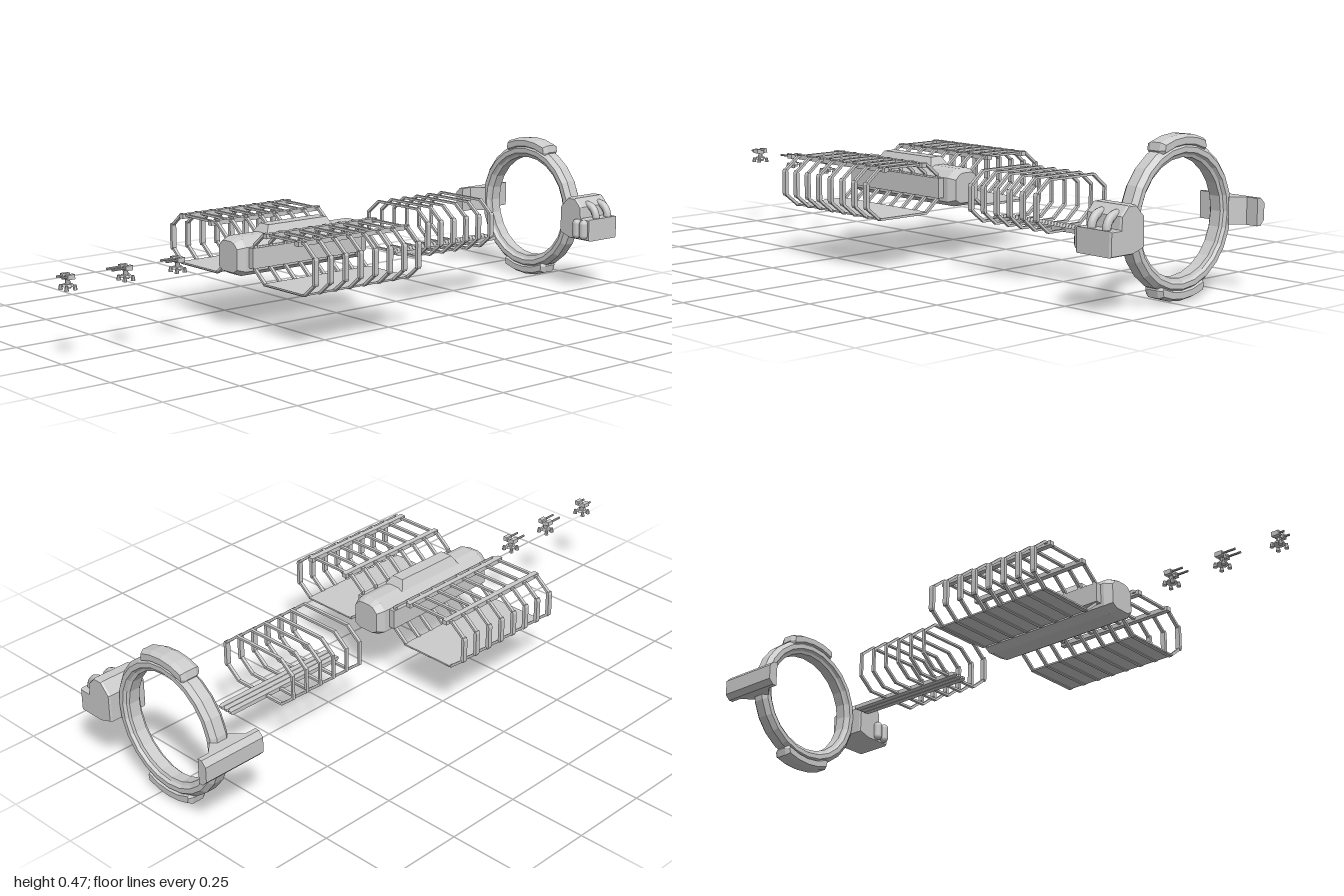
import * as THREE from 'three';

const mat = new THREE.MeshStandardMaterial({ color: 0xcccccc, flatShading: true });
const smooth = new THREE.MeshStandardMaterial({ color: 0xcccccc });

function add(parent, name, geo, x = 0, y = 0, z = 0, m = mat) {
  const mesh = new THREE.Mesh(geo, m);
  mesh.name = name;
  mesh.position.set(x, y, z);
  parent.add(mesh);
  return mesh;
}
const group = (parent, name) => {
  const g = new THREE.Group();
  g.name = name;
  parent.add(g);
  return g;
};
const box = (w, h, d) => new THREE.BoxGeometry(w, h, d);
const poly = (pts) => new THREE.Shape(pts.map(([x, y]) => new THREE.Vector2(x, y)));

// Outline in x,y drawn out between z0 and z1, with an inward bevel at both ends
function prism(shape, z0, z1, bevel = 0, bevelDepth = bevel) {
  const geo = new THREE.ExtrudeGeometry(shape, {
    depth: z1 - z0 - 2 * bevelDepth, bevelEnabled: bevel > 0, bevelSize: bevel,
    bevelOffset: -bevel, bevelThickness: bevelDepth, bevelSegments: 1,
  });
  return geo.translate(0, 0, z0 + bevelDepth);
}

// Box whose top is scaled to sx, sz
function taperBox(w, h, d, sx, sz) {
  const geo = box(w, h, d), p = geo.attributes.position;
  for (let i = 0; i < p.count; i++) {
    if (p.getY(i) > 0) { p.setX(i, p.getX(i) * sx); p.setZ(i, p.getZ(i) * sz); }
  }
  geo.computeVertexNormals();
  return geo;
}

// Closed eight-sided rib with a thick pad on its outer (+x) side
const octagon = (w, h, cx, cy) => [
  [w, -h + cy], [w, h - cy], [w - cx, h], [cx - w, h],
  [-w, h - cy], [-w, cy - h], [cx - w, -h], [w - cx, -h]];
const ribShape = poly(octagon(0.145, 0.08, 0.05, 0.04));
ribShape.holes.push(poly(octagon(0.138, 0.073, 0.047, 0.038)));
const ribGeo = prism(ribShape, -0.005, 0.005);
const padGeo = prism(poly([[0.137, -0.034], [0.14, -0.042], [0.145, -0.042], [0.148, -0.034],
  [0.148, 0.034], [0.145, 0.042], [0.14, 0.042], [0.137, 0.034]]), -0.008, 0.008);

function ribs(parent, count, z0, step) {
  for (let i = 0; i < count; i++) {
    add(parent, 'rib', ribGeo, 0, 0.24, z0 + i * step);
    add(parent, 'ribPad', padGeo, 0, 0.24, z0 + i * step);
  }
}

function centralHull(root) {
  const g = group(root, 'centralHull');
  const outline = poly([[-0.03, 0.179], [0.03, 0.179], [0.057, 0.195], [0.057, 0.269], [0.037, 0.29],
    [0.018, 0.296], [-0.018, 0.296], [-0.037, 0.29], [-0.057, 0.269], [-0.057, 0.195]]);
  add(g, 'hull', prism(outline, -0.083, 0.418, 0.012, 0.025));
  add(g, 'roofHump', taperBox(0.074, 0.03, 0.26, 0.57, 0.86), 0, 0.305, 0.17);
  for (const s of [-1, 1]) add(g, 'sideStrip', box(0.022, 0.062, 0.42), s * 0.066, 0.237, 0.172);
}

function cargoCage(root, side) {
  const g = group(root, side > 0 ? 'leftCage' : 'rightCage');
  g.position.x = side * 0.212;
  if (side < 0) g.rotation.y = Math.PI;
  // the right cage is turned around, so its depth runs the other way
  const zc = side * 0.172;
  ribs(g, 8, zc - 0.197, 0.0563);
  for (const x of [-0.074, 0.075]) add(g, 'topRail', box(0.018, 0.014, 0.425), x, 0.314, zc);
  add(g, 'floor', box(0.19, 0.005, 0.41), 0, 0.165, zc);
}

function rearFrame(root) {
  const g = group(root, 'rearFrame');
  ribs(g, 6, -0.528, 0.0546);
  for (const x of [-0.02, 0, 0.02]) {
    const bar = poly([[-0.009, 0.158], [0.009, 0.158], [0.009, 0.171], [-0.009, 0.171]]);
    add(g, 'spineBar', prism(bar, -0.668, -0.23, 0.003, 0.008), x);
  }
  add(g, 'spinePlate', box(0.05, 0.007, 0.42), 0, 0.1645, -0.449);
}

function gate(root) {
  const g = group(root, 'ringGate');
  g.position.set(-0.04, 0.238, -0.895);

  // Ring cross-section: radius, depth
  const profile = [[0.17, -0.018], [0.179, -0.022], [0.185, -0.031], [0.2, -0.031], [0.213, -0.017],
    [0.213, 0.017], [0.2, 0.031], [0.185, 0.031], [0.179, 0.022], [0.17, 0.018], [0.17, -0.018]];
  const ring = new THREE.LatheGeometry(profile.map(([r, z]) => new THREE.Vector2(r, z)), 24);
  add(g, 'ring', ring.rotateX(Math.PI / 2));

  // Raised arcs at the top and bottom of the ring
  const arc = [];
  const put = (deg, r) => {
    const a = deg * Math.PI / 180;
    arc.push([r * Math.sin(a), r * Math.cos(a)]);
  };
  put(26, 0.2);
  put(26, 0.216);
  for (const d of [22.5, 11.25, 0, -11.25, -22.5]) put(d, 0.235);
  put(-26, 0.216);
  put(-26, 0.2);
  for (const d of [-11, 0, 11]) put(d, 0.2);
  const arcGeo = prism(poly(arc), -0.033, 0.033, 0.008, 0.015);
  for (const turn of [0, Math.PI]) add(g, 'ringPad', arcGeo).rotation.z = turn;

  // Docking plate on the model's right
  const dock = group(root, 'dockingPlate');
  const plate = poly([[-0.267, 0.199], [-0.267, 0.279], [-0.282, 0.279], [-0.298, 0.263],
    [-0.298, 0.215], [-0.282, 0.199]]);
  add(dock, 'plate', prism(plate, -1, -0.79));
  const neck = add(dock, 'plateNeck', taperBox(0.08, 0.04, 0.14, 1, 0.45), -0.25, 0.239, -0.895);
  neck.rotation.z = -Math.PI / 2;

  // Machine block on the model's left
  const plant = group(root, 'machineBlock');
  const block = poly([[0.162, 0.184], [0.205, 0.17], [0.295, 0.17], [0.295, 0.242], [0.256, 0.242],
    [0.253, 0.278], [0.227, 0.305], [0.195, 0.305], [0.162, 0.271]]);
  add(plant, 'block', prism(block, -0.96, -0.83, 0.003, 0.006));
  for (const x of [0.243, 0.273]) {
    add(plant, 'tank', new THREE.CapsuleGeometry(0.0148, 0.036, 6, 14), x, 0.207, -0.825, smooth);
  }
  for (const z of [-0.93, -0.875]) {
    add(plant, 'pipe', new THREE.TorusGeometry(0.04, 0.0125, 10, 14, Math.PI / 2), 0.24, 0.242, z, smooth);
  }
}

// Small turret: splayed feet, post and a pair of guns
function turret(root, z, barrel) {
  const g = group(root, 'turret');
  g.position.set(0, 0.215, z);
  add(g, 'base', new THREE.CylinderGeometry(0.015, 0.019, 0.007, 8), 0, 0.013, 0);
  for (const sx of [-1, 1]) {
    for (const sz of [-1, 1]) {
      add(g, 'foot', new THREE.CylinderGeometry(0.004, 0.007, 0.015, 8), sx * 0.016, 0.007, sz * 0.014);
    }
    add(g, 'gunHousing', box(0.014, 0.014, 0.024), sx * 0.014, 0.038, 0);
    const gun = new THREE.CylinderGeometry(0.0035, 0.0035, barrel, 8).rotateX(Math.PI / 2);
    add(g, 'barrel', gun, sx * 0.014, 0.038, barrel / 2);
  }
  add(g, 'post', new THREE.CylinderGeometry(0.006, 0.009, 0.02, 8), 0, 0.023, 0);
  add(g, 'yoke', box(0.016, 0.01, 0.018), 0, 0.034, 0);
}

export function createModel() {
  const root = new THREE.Group();
  root.name = 'stationParts';
  centralHull(root);
  cargoCage(root, 1);
  cargoCage(root, -1);
  rearFrame(root);
  gate(root);
  turret(root, 0.6, 0.05);
  turret(root, 0.78, 0.055);
  turret(root, 0.973, 0.027);
  return root;
}
